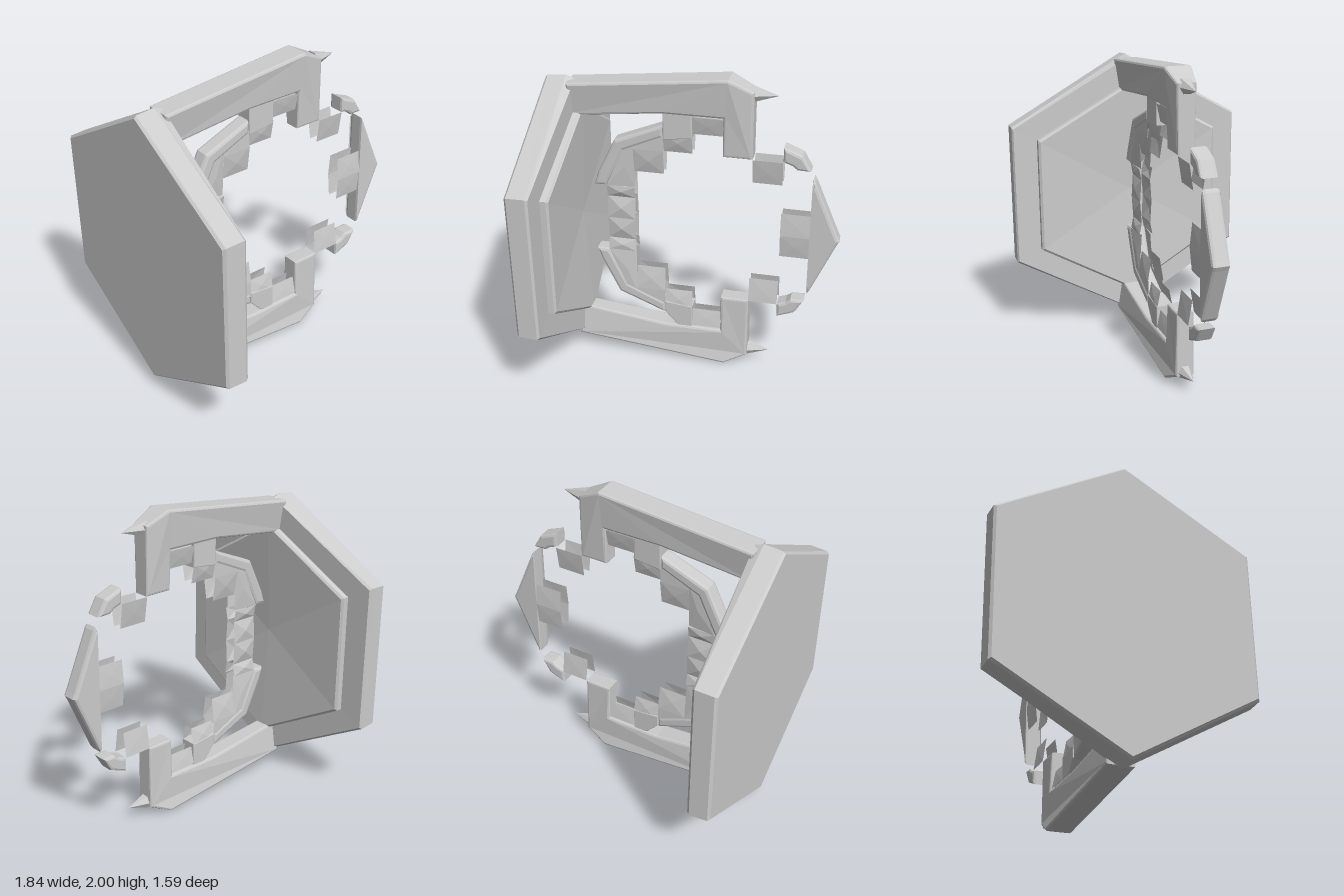
import * as THREE from 'three';

const grey = new THREE.MeshStandardMaterial({ color: 0xcccccc, side: THREE.DoubleSide });
grey.name = 'plain grey';

function fromTriangles(name, tris) {
  const g = new THREE.BufferGeometry();
  g.setAttribute('position', new THREE.Float32BufferAttribute(tris.flat(2), 3));
  g.computeVertexNormals();
  const m = new THREE.Mesh(g, grey);
  m.name = name;
  return m;
}

// Bevelled slab in the xy plane; points are (x, distance from mid height), s picks upper or lower half
function slab(name, pts, s, half, bevel, rule) {
  const shape = new THREE.Shape(pts.map(([x, d]) => new THREE.Vector2(x, 1 + s * d)));
  const g = new THREE.ExtrudeGeometry(shape, {
    depth: 2 * (half - bevel), bevelThickness: bevel, bevelSize: bevel,
    bevelOffset: -bevel, bevelSegments: 2, steps: 1,
  });
  g.translate(0, 0, bevel - half);
  if (rule) {
    const p = g.attributes.position;
    for (let i = 0; i < p.count; i++) {
      p.setZ(i, p.getZ(i) * rule(p.getX(i), Math.abs(p.getY(i) - 1)));
    }
  }
  g.computeVertexNormals();
  const m = new THREE.Mesh(g, grey);
  m.name = name;
  return m;
}

// Pair of facing sheets, each a four-sided shallow pyramid; corners are [x, d, z]
function sheets(name, corners, s, apex) {
  const tris = [];
  for (const side of [1, -1]) {
    const q = corners.map(([x, d, z]) => [x, 1 + s * d, side * z]);
    const c = [0, 1].map((k) => q.reduce((t, v) => t + v[k], 0) / q.length);
    c.push(side * apex);
    for (let i = 0; i < q.length; i++) {
      const a = q[i], b = q[(i + 1) % q.length];
      tris.push(s * side > 0 ? [c, a, b] : [c, b, a]);
    }
  }
  return fromTriangles(name, tris);
}

const tooth = (x0, x1, d0, d1, zIn, zOut) =>
  [[x0, d0, zIn], [x1, d0, zIn], [x1, d1, zOut], [x0, d1, zOut]];

// Hexagon around the x axis, starting at the top corner
function hexRing(w, hSide, hTop, xSide, xTop) {
  return [[0, hTop], [w, hSide], [w, -hSide], [0, -hTop], [-w, -hSide], [-w, hSide]]
    .map(([z, y], i) => [i % 3 ? xSide : xTop, 1 + y, z]);
}

function loft(name, rings, xBack, xFront) {
  const tris = [];
  const first = rings[0], last = rings[rings.length - 1];
  for (let i = 0; i < 6; i++) {
    const j = (i + 1) % 6;
    for (let r = 0; r + 1 < rings.length; r++) {
      const a = rings[r], b = rings[r + 1];
      tris.push([a[i], a[j], b[j]], [a[i], b[j], b[i]]);
    }
    tris.push([[xBack, 1, 0], first[j], first[i]], [[xFront, 1, 0], last[i], last[j]]);
  }
  return fromTriangles(name, tris);
}

export function createModel() {
  const model = new THREE.Group();
  model.name = 'hexagonalBracket';

  // Hexagonal back plate and its raised inner panel
  model.add(loft('backPlate', [
    hexRing(0.775, 0.46, 0.9, -0.92, -0.92),
    hexRing(0.79, 0.47, 0.915, -0.905, -0.905),
    hexRing(0.795, 0.475, 0.925, -0.79, -0.79),
    hexRing(0.785, 0.465, 0.905, -0.775, -0.735),
  ], -0.92, -0.745));
  model.add(loft('innerPanel', [
    hexRing(0.63, 0.385, 0.74, -0.8, -0.8),
    hexRing(0.63, 0.385, 0.74, -0.732, -0.705),
    hexRing(0.615, 0.375, 0.725, -0.72, -0.69),
  ], -0.8, -0.73));

  // Arms are thinner on the inner edge and toward the tip
  const armTaper = (x, d) => {
    const inner = THREE.MathUtils.lerp(0.65, 1, THREE.MathUtils.smoothstep(d, 0.68, 0.88));
    const tip = 1 - 0.3 * THREE.MathUtils.clamp((x - 0.22) / 0.15, 0, 1);
    return Math.min(inner, tip);
  };

  for (const s of [1, -1]) {
    const half = new THREE.Group();
    half.name = s > 0 ? 'upperHalf' : 'lowerHalf';
    model.add(half);

    half.add(slab('arm', [
      [-0.77, 0.9], [0.22, 1.0], [0.37, 0.925], [0.37, 0.5], [0.19, 0.5],
      [0.19, 0.75], [-0.18, 0.75], [-0.77, 0.685],
    ], s, 0.086, 0.015, armTaper));

    // Pointed spike on the arm tip
    const spikeGeo = new THREE.ConeGeometry(0.055, 0.17, 6).toNonIndexed();
    spikeGeo.computeVertexNormals();
    const spike = new THREE.Mesh(spikeGeo, grey);
    spike.name = 'spike';
    spike.rotation.z = -Math.PI / 2;
    spike.position.set(0.425, 1 + s * 0.9, 0);
    half.add(spike);

    // Outer band of the broken ring
    half.add(slab('ringBand', [
      [-0.63, 0.23], [-0.6, 0.32], [-0.49, 0.545], [-0.18, 0.67],
      [-0.18, 0.59], [-0.43, 0.48], [-0.55, 0.23],
    ], s, 0.055, 0.02));

    // Neck joining the ring to the arm
    const outer = s > 0 ? [[-0.18, 0.77]] : [[-0.18, 0.66], [-0.1, 0.75]];
    half.add(slab('ringNeck', [[-0.18, 0.58], ...outer, [0, 0.77], [0, 0.6]], s, 0.056, 0.006));
    half.add(slab('ringBridge', [[0, 0.68], [0, 0.75], [0.19, 0.75], [0.19, 0.68]], s, 0.04, 0.012));

    // Stepped inner teeth
    half.add(sheets('bridgeTooth', tooth(0, 0.19, 0.625, 0.74, 0.03, 0.055), s, 0.045));
    half.add(sheets('neckTooth', tooth(-0.18, 0, 0.495, 0.62, 0.03, 0.055), s, 0.05));
    half.add(sheets('cornerTooth', tooth(-0.37, -0.18, 0.34, 0.5, 0.03, 0.055), s, 0.05));
    half.add(sheets('cornerWeb',
      [[-0.37, 0.49, 0.05], [-0.18, 0.49, 0.05], [-0.18, 0.61, 0.05], [-0.37, 0.53, 0.05]], s, 0.05));
    half.add(sheets('sideWeb',
      [[-0.55, 0.23, 0.05], [-0.37, 0.23, 0.03], [-0.37, 0.53, 0.05], [-0.43, 0.5, 0.05]], s, 0.05));
    half.add(sheets('sideToothInner', tooth(-0.55, -0.37, 0, 0.15, 0.04, 0.03), s, 0.052));
    half.add(sheets('sideToothOuter', tooth(-0.55, -0.37, 0.15, 0.23, 0.03, 0.045), s, 0.05));
    half.add(sheets('freeTooth', tooth(0.37, 0.555, 0.34, 0.5, 0.03, 0.055), s, 0.045));
    half.add(sheets('pointerTooth', tooth(0.555, 0.745, 0, 0.15, 0.05, 0.035), s, 0.045));

    // Small loose claw
    half.add(slab('claw', [
      [0.555, 0.595], [0.67, 0.55], [0.725, 0.455], [0.64, 0.455], [0.61, 0.48], [0.555, 0.5],
    ], s, 0.056, 0.018));
  }

  // Triangular pointer at the far end
  model.add(slab('pointer', [[0.74, 0.4], [0.755, 0.38], [0.905, 0.03], [0.92, 0],
    [0.905, -0.03], [0.755, -0.38], [0.74, -0.4]], 1, 0.056, 0.02));

  return model;
}
